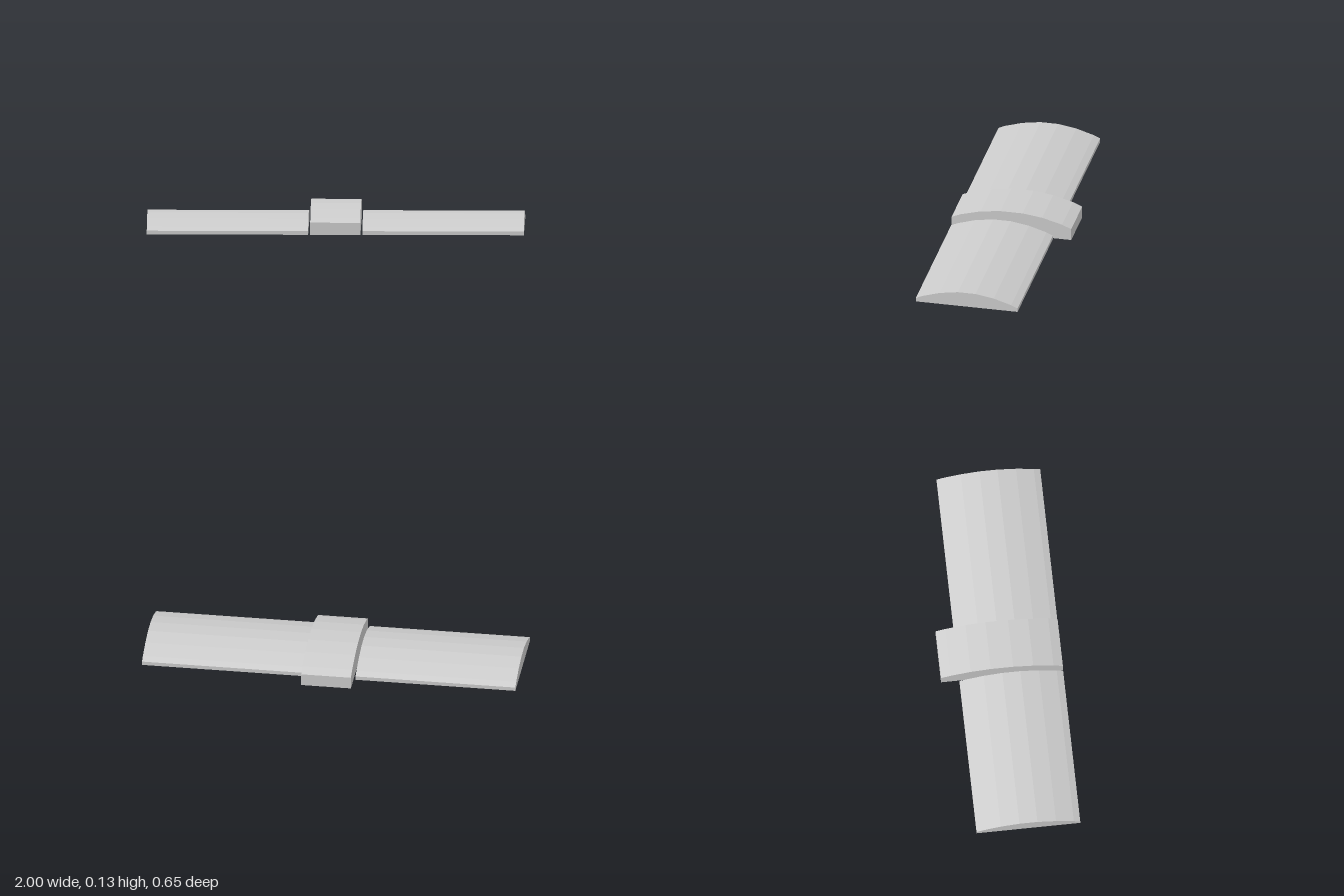
import * as THREE from 'three';

const material = new THREE.MeshStandardMaterial({ color: 0xcccccc, flatShading: true });

// Flat-bottomed arched slab: mirrored half profile [offset, height], running from x0 to x1
function archedSlab(name, half, zCentre, x0, x1) {
  const outline = [
    ...half.map(([d, y]) => new THREE.Vector2(d, y)),
    ...half.slice().reverse().map(([d, y]) => new THREE.Vector2(-d, y)),
  ];
  const geometry = new THREE.ExtrudeGeometry(new THREE.Shape(outline), {
    depth: x1 - x0, bevelEnabled: false,
  });
  geometry.rotateY(Math.PI / 2);
  geometry.translate(x0, 0, zCentre);
  const mesh = new THREE.Mesh(geometry, material);
  mesh.name = name;
  return mesh;
}

export function createModel() {
  const model = new THREE.Group();
  model.name = 'archedBand';

  // Taller, deeper centre block
  const centreProfile = [[0.325, 0], [0.325, 0.065], [0.275, 0.086], [0.167, 0.115], [0.06, 0.129]];
  model.add(archedSlab('centreBlock', centreProfile, 0, -0.133, 0.133));

  // Long low side panels, flush with the front of the centre block
  const panelProfile = [[0.2765, 0], [0.2765, 0.02], [0.242, 0.036], [0.147, 0.065], [0.048, 0.081]];
  model.add(archedSlab('leftPanel', panelProfile, 0.0485, 0.144, 1));
  model.add(archedSlab('rightPanel', panelProfile, 0.0485, -1, -0.144));

  return model;
}
